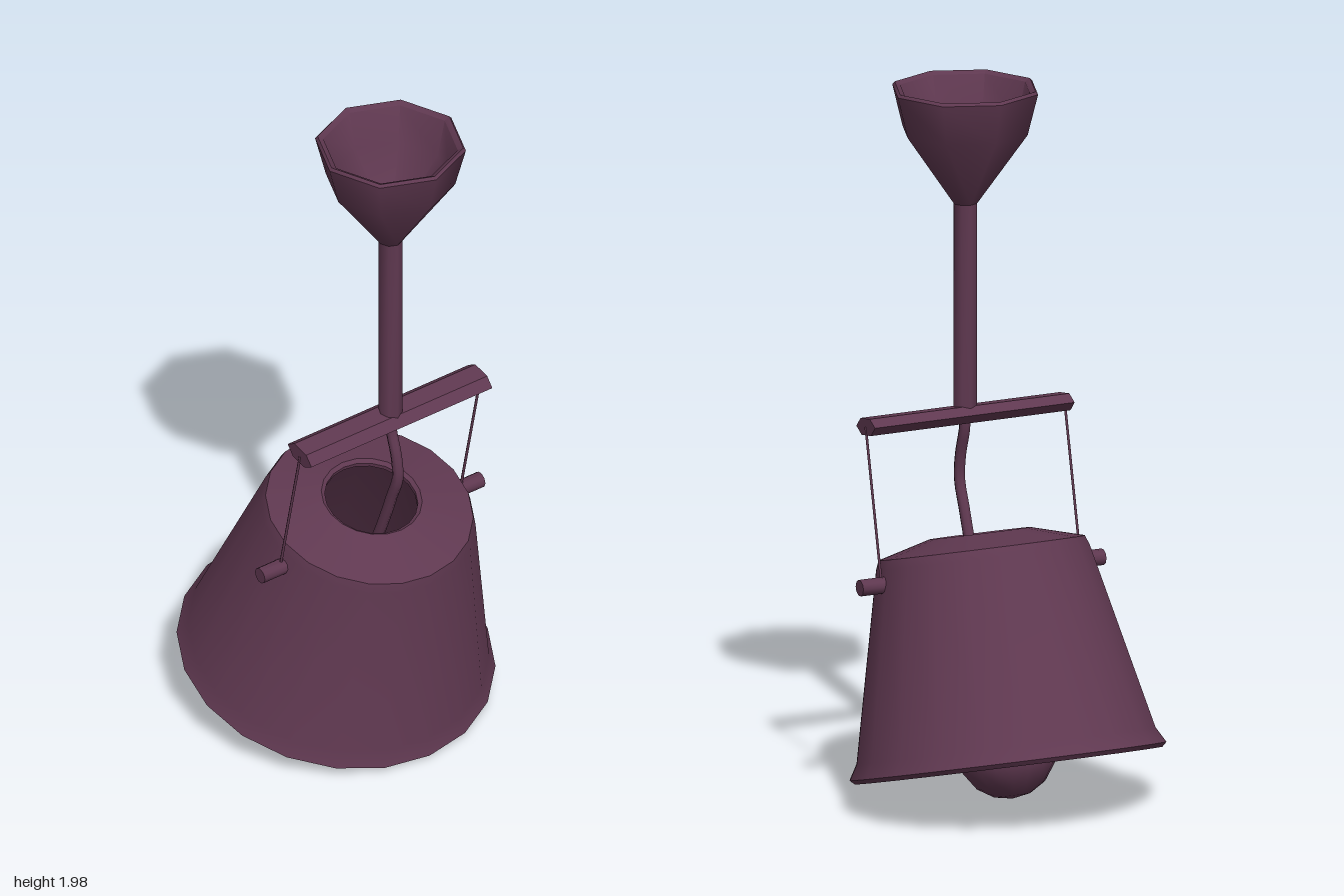
import * as THREE from 'three';
import { toCreasedNormals } from 'three/addons/utils/BufferGeometryUtils.js';

export function createModel() {
  const plum = new THREE.MeshStandardMaterial({ color: 0x5f3850 });
  plum.name = 'plum';
  const lamp = new THREE.Group();
  lamp.name = 'pendantLamp';
  const stemZ = 0.235;

  const add = (parent, name, geometry, x = 0, y = 0, z = 0) => {
    const mesh = new THREE.Mesh(geometry, plum);
    mesh.name = name;
    mesh.position.set(x, y, z);
    parent.add(mesh);
    return mesh;
  };
  const lathe = (points, sides, crease = 0.7) => toCreasedNormals(
    new THREE.LatheGeometry(points.map(([r, y]) => new THREE.Vector2(r, y)), sides), crease);

  // Hollow eight-sided ceiling cup
  add(lamp, 'ceilingCup', lathe([
    [0.034, 1.67], [0.18, 1.875], [0.21, 1.992], [0.203, 2], [0.187, 1.992],
    [0.163, 1.885], [0, 1.69],
  ], 8, 0.9), 0, 0, stemZ);

  // Straight stem
  add(lamp, 'stem', toCreasedNormals(new THREE.CylinderGeometry(0.034, 0.034, 0.62, 8), 0.9), 0, 1.38, stemZ);

  // Flattened six-sided crossbar, slightly tilted
  const barGeometry = new THREE.CylinderGeometry(1, 1, 0.624, 6);
  barGeometry.rotateZ(Math.PI / 2);
  barGeometry.scale(1, 0.027, 0.055);
  const bar = add(lamp, 'crossbar', toCreasedNormals(barGeometry, 0.5), 0, 1.07, stemZ - 0.002);
  bar.rotation.x = 0.15;

  // Bent power cord running into the shade
  const cordPath = new THREE.CatmullRomCurve3([
    [1.08, 0.235], [1.03, 0.238], [0.95, 0.262], [0.88, 0.268], [0.8, 0.24], [0.73, 0.215],
    [0.62, 0.17], [0.5, 0.1],
  ].map(([y, z]) => new THREE.Vector3(0, y, z)));
  add(lamp, 'cord', new THREE.TubeGeometry(cordPath, 24, 0.016, 8));

  // Tilted head: shade, bulb and socket share one axis
  const head = new THREE.Group();
  head.name = 'lampHead';
  head.position.set(0, 0.127, -0.018);
  head.rotation.x = 0.262;
  lamp.add(head);

  add(head, 'shade', lathe([
    [0.432, 0], [0.445, 0.012], [0.42, 0.055], [0.3, 0.578], [0.29, 0.604],
    [0.141, 0.645], [0.13, 0.637], [0.13, 0.625], [0.28, 0.585], [0.29, 0.57],
    [0.406, 0.055], [0.432, 0],
  ], 20));

  add(head, 'bulb', lathe([
    [0, -0.092], [0.05, -0.083], [0.095, -0.055], [0.128, -0.008], [0.141, 0.05],
    [0.132, 0.11], [0.105, 0.165], [0.075, 0.21], [0.055, 0.25], [0.05, 0.28],
  ], 16, 1.2));
  add(head, 'socket', toCreasedNormals(new THREE.CylinderGeometry(0.05, 0.06, 0.17, 12), 0.9), 0, 0.35, 0);

  // Pivot pins and suspension wires on both sides
  const pinGeometry = new THREE.CylinderGeometry(0.023, 0.023, 0.09, 10);
  pinGeometry.rotateZ(Math.PI / 2);
  const smoothPin = toCreasedNormals(pinGeometry, 0.9);
  for (const side of [-1, 1]) {
    const label = side > 0 ? 'left' : 'right';
    add(lamp, label + 'Pin', smoothPin, side * 0.335, 0.64, 0.142);
    const wire = new THREE.LineCurve3(
      new THREE.Vector3(side * 0.311, 0.64, 0.142),
      new THREE.Vector3(side * 0.311, 1.07, stemZ));
    add(lamp, label + 'Wire', new THREE.TubeGeometry(wire, 1, 0.004, 6));
  }

  return lamp;
}
